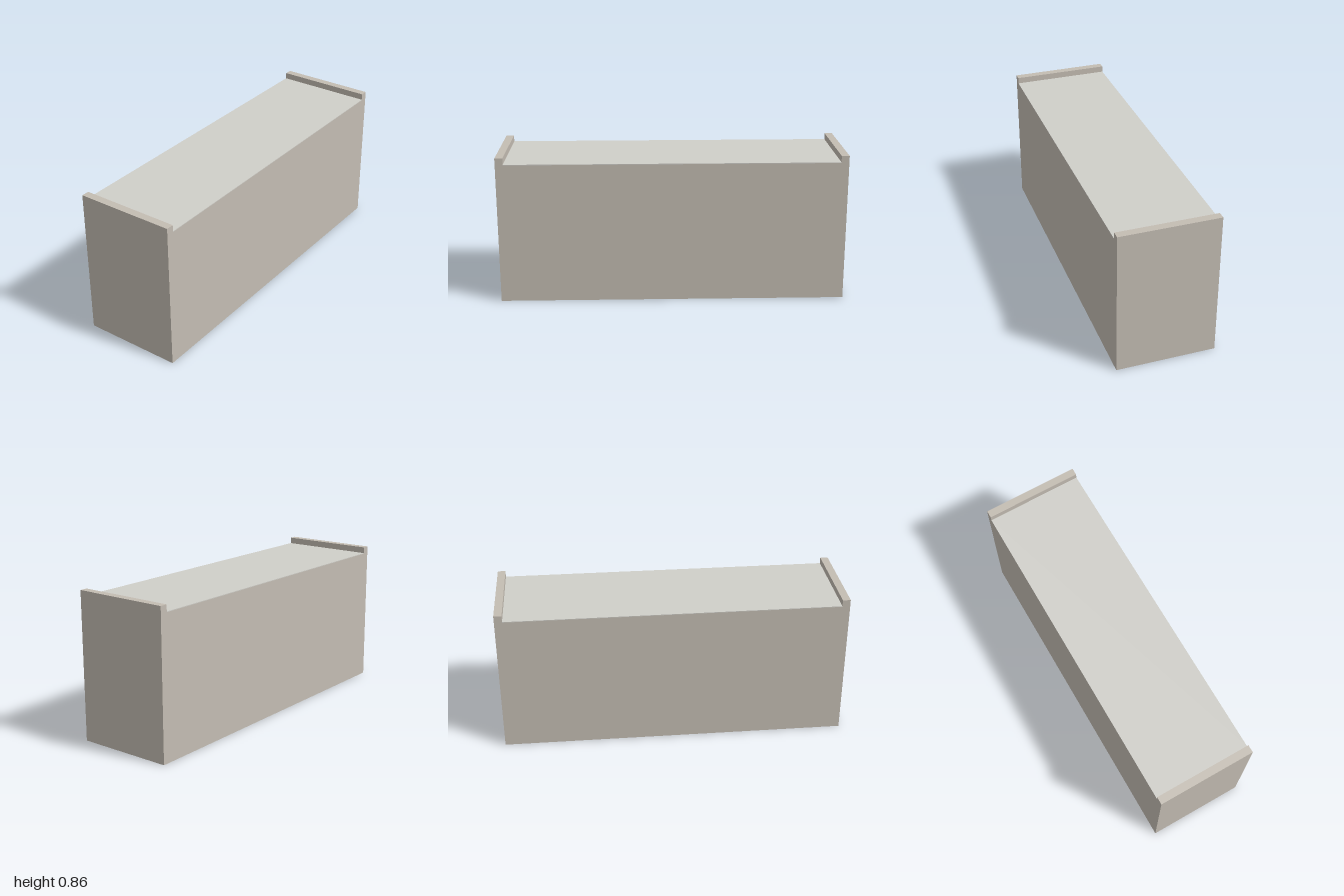
import * as THREE from 'three';

const WIDTH = 2, DEPTH = 0.572, END_HEIGHT = 0.857, TOP = 0.82, WALL = 0.045, LID = 0.004;

export function createModel() {
  const model = new THREE.Group();
  model.name = 'openBottomedCabinet';
  const body = new THREE.MeshStandardMaterial({ color: 0xc4bdb3 });
  const pale = new THREE.MeshStandardMaterial({ color: 0xd0cfc9 });

  // Box standing on height y
  const panel = (name, w, h, d, x, y, z, material = body) => {
    const mesh = new THREE.Mesh(new THREE.BoxGeometry(w, h, d), material);
    mesh.name = name;
    mesh.position.set(x, y + h / 2, z);
    model.add(mesh);
  };

  const inner = WIDTH - 2 * WALL;
  const slabBase = TOP - LID - WALL;

  // End panels rise above the top as low lips
  for (const [side, s] of [['left', 1], ['right', -1]]) {
    panel(`${side}EndPanel`, WALL, END_HEIGHT, DEPTH, s * (WIDTH - WALL) / 2, 0, 0);
  }

  // Front and back walls with a central divider, open underneath
  const wallZ = (DEPTH - WALL) / 2;
  for (const [name, z] of [['frontWall', wallZ], ['divider', 0], ['backWall', -wallZ]]) {
    panel(name, inner, slabBase, WALL, 0, 0, z);
  }

  // Top board and its paler surface
  panel('topBoard', inner, WALL, DEPTH, 0, slabBase, 0);
  panel('topSurface', inner, LID, DEPTH, 0, TOP - LID, 0, pale);

  return model;
}
